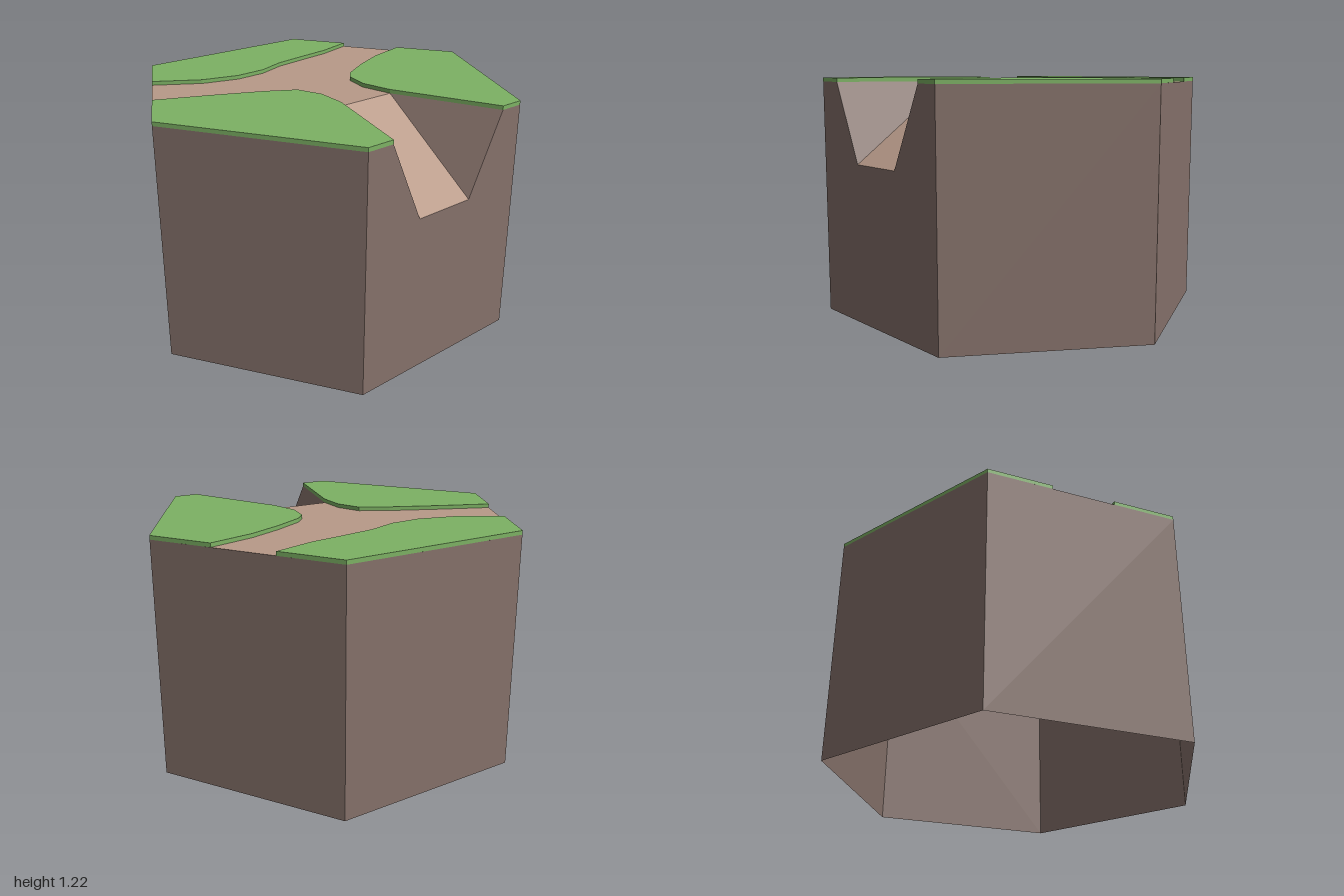
import * as THREE from 'three';

const DECK = 1.2, GRASS = 0.02, APOTHEM = 0.866, RAMP_END = 0.8;

const material = (color) => new THREE.MeshStandardMaterial({
  color, roughness: 1, flatShading: true, side: THREE.DoubleSide,
});

// Shape from [x, z] points, drawn so that laying it flat keeps x and z
const planShape = (points) =>
  new THREE.Shape(points.map(([x, z]) => new THREE.Vector2(x, -z)));

// Flat convex panel, corners counter-clockwise seen from outside
function panel(corners) {
  const position = [];
  for (let i = 1; i < corners.length - 1; i++) {
    position.push(...corners[0], ...corners[i], ...corners[i + 1]);
  }
  const geometry = new THREE.BufferGeometry();
  geometry.setAttribute('position', new THREE.Float32BufferAttribute(position, 3));
  geometry.computeVertexNormals();
  return geometry;
}

export function createModel() {
  const model = new THREE.Group();
  model.name = 'hexagonalRiverbedTile';
  const earth = material(0x85716a);
  const dirt = material(0xb89a89);
  const grass = material(0x7db264);

  const add = (name, geometry, mat) => {
    const mesh = new THREE.Mesh(geometry, mat);
    mesh.name = name;
    model.add(mesh);
    return mesh;
  };

  // Banks of the forked path as [x, z]
  const backBank = [[0.665, -0.58], [0.45, -0.515], [0.25, -0.485], [0.07, -0.455],
    [-0.09, -0.395], [-0.26, -0.385], [-0.45, -0.437], [-0.667, -0.577]];
  const rightBank = [[-0.832, -0.29], [-0.58, -0.18], [-0.33, -0.06], [-0.19, 0.025],
    [-0.147, 0.16], [-0.165, 0.325]];
  const leftBank = [[0.832, -0.29], [0.59, -0.225], [0.4, -0.14], [0.23, -0.045],
    [0.17, 0.02], [0.135, 0.155], [0.162, 0.325]];

  // Outer walls, open underneath; the front one is cut away for the ramp
  const corner = (i) => [Math.cos(i * Math.PI / 3), Math.sin(i * Math.PI / 3)];
  for (let i = 0; i < 6; i++) {
    if (i === 1) continue;
    const [ax, az] = corner(i), [bx, bz] = corner(i + 1);
    add(`wall${i}`, panel([[bx, 0, bz], [ax, 0, az], [ax, DECK, az], [bx, DECK, bz]]), earth);
  }
  const front = [[-0.5, 0], [0.5, 0], [0.5, DECK], [0.37, DECK], [0.165, RAMP_END],
    [-0.17, RAMP_END], [-0.355, DECK], [-0.5, DECK]];
  const frontShape = new THREE.Shape(front.map(([x, y]) => new THREE.Vector2(x, y)));
  add('frontWall', new THREE.ShapeGeometry(frontShape), earth).position.z = APOTHEM;

  // Path surface between the banks
  const path = add('path', new THREE.ShapeGeometry(
    planShape([...rightBank, ...[...leftBank].reverse(), ...backBank])), dirt);
  path.rotation.x = -Math.PI / 2;
  path.position.y = DECK;

  // Ramp down to the front and its two triangular sides
  const topR = [-0.165, DECK, 0.325], topL = [0.162, DECK, 0.325];
  const footR = [-0.17, RAMP_END, APOTHEM], footL = [0.165, RAMP_END, APOTHEM];
  add('ramp', panel([footR, footL, topL, topR]), dirt);
  add('rampRightSide', panel([footR, topR, [-0.355, DECK, APOTHEM]]), earth);
  add('rampLeftSide', panel([footL, [0.37, DECK, APOTHEM], topL]), earth);

  // Raised grass on the three sides of the path
  const lawns = {
    backGrass: [[-0.5, -APOTHEM], [0.5, -APOTHEM], ...backBank],
    rightGrass: [[-1, 0], ...rightBank, [-0.355, APOTHEM], [-0.5, APOTHEM]],
    leftGrass: [[1, 0], ...leftBank, [0.37, APOTHEM], [0.5, APOTHEM]],
  };
  for (const [name, outline] of Object.entries(lawns)) {
    const slab = add(name, new THREE.ExtrudeGeometry(planShape(outline),
      { depth: GRASS, bevelEnabled: false }), grass);
    slab.rotation.x = -Math.PI / 2;
    slab.position.y = DECK;
  }
  return model;
}
